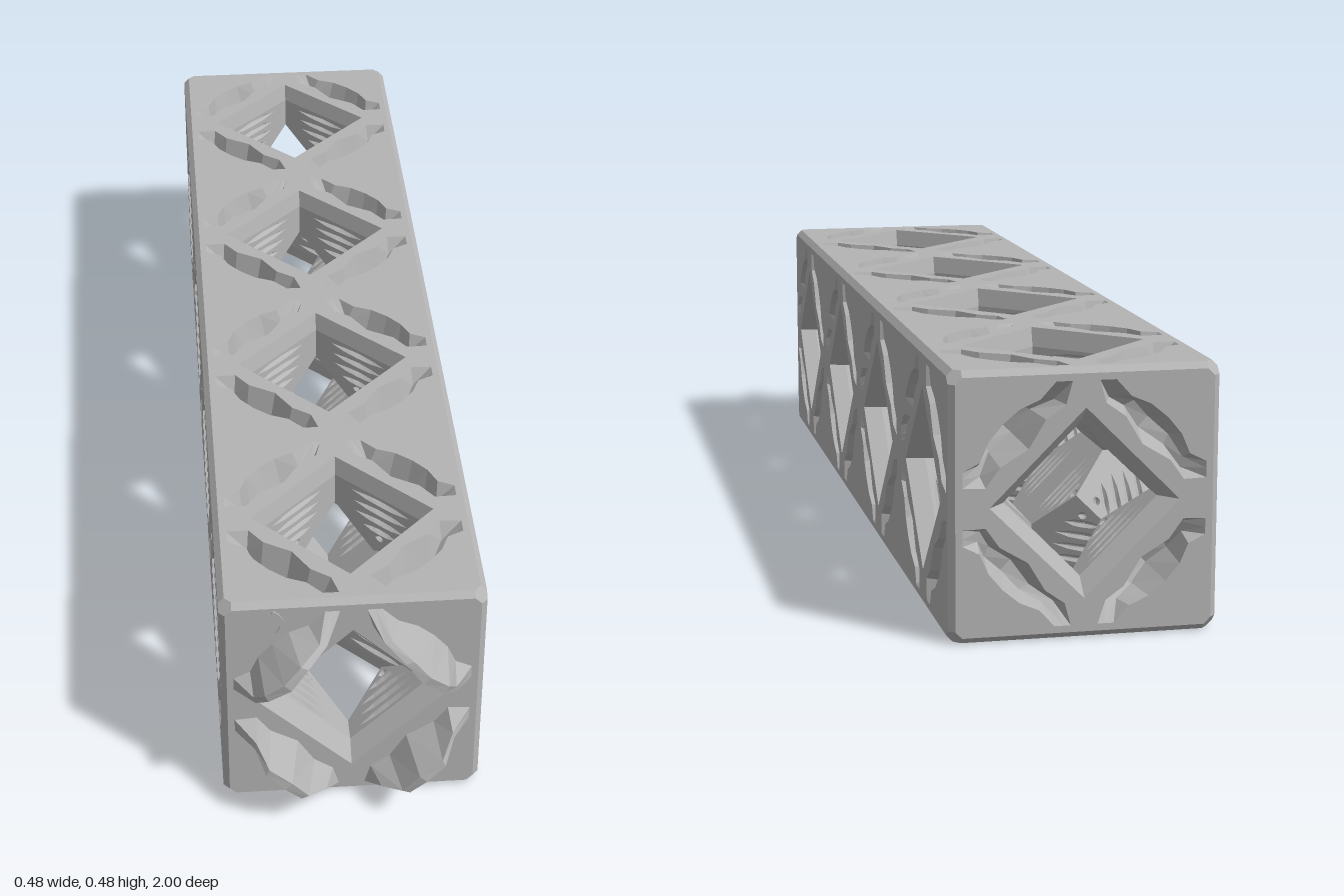
import * as THREE from 'three';

const H = 0.2384;                 // half the side of one cubic cell
const CELLS = [-3, -1, 1, 3].map(i => i * H);
const HALF = [H, H, 4 * H];       // half size of the beam
const D = [0.157, 0.157, 0.137];  // half diagonal of the tunnels along x, y, z
const RIM = 0.168, FLARE = 0.035; // flared mouth of each tunnel
const BEVEL = 0.011, CUT = 0.023;
const AXES = [new THREE.Vector3(1, 0, 0), new THREE.Vector3(0, 1, 0), new THREE.Vector3(0, 0, 1)];
const SIGNS = [[1, 1], [1, -1], [-1, 1], [-1, -1]];

// Wavy channel in one quadrant of a cell face: inner edge, outer edge, depth
const INNER = [[.024, .215], [.035, .175], [.07, .15], [.1, .1], [.15, .07], [.175, .035], [.215, .024]];
const OUTER = [[.065, .215], [.08, .185], [.115, .17], [.145, .145], [.17, .115], [.185, .08], [.215, .065]];
const DEPTH = [0, .035, .065, .08, .065, .035, 0];
const HEIGHT = [0, .05, .085, .093, .085, .05, 0];
// Slits on the tunnel walls: [distance from cell centre, half length]
const SLITS = [[.19, .07], [.167, .065], [.144, .06], [.121, .04], [.105, .01]];

// Collects flat facets, each turned towards its given outward direction
class Facets {
  constructor() { this.pos = []; }
  tri(a, b, c, out) {
    const n = b.clone().sub(a).cross(c.clone().sub(a));
    if (n.length() < 1e-9) return;
    const order = n.dot(out) < 0 ? [a, c, b] : [a, b, c];
    order.forEach(p => this.pos.push(p.x, p.y, p.z));
  }
  poly(pts, out) {
    for (let i = 1; i < pts.length - 1; i++) this.tri(pts[0], pts[i], pts[i + 1], out);
  }
  shape(outline, holes, map, out) {
    const toV2 = l => l.map(([x, y]) => new THREE.Vector2(x, y));
    const s = new THREE.Shape(toV2(outline));
    s.holes = holes.map(h => new THREE.Path(toV2(h)));
    const g = new THREE.ShapeGeometry(s), p = g.attributes.position, ix = g.index;
    const v = i => map(p.getX(ix.getX(i)), p.getY(ix.getX(i)));
    for (let i = 0; i < ix.count; i += 3) this.tri(v(i), v(i + 1), v(i + 2), out);
  }
  // Trough (positive depth) or ridge (negative depth) between two edge lines
  channel(inner, outer, depth, flat, map, out) {
    const mix = (a, b, t) => [a[0] + (b[0] - a[0]) * t, a[1] + (b[1] - a[1]) * t];
    const rows = inner.map((a, i) => [0, flat, 1 - flat, 1].map((t, j) =>
      map(...mix(a, outer[i], t), j === 1 || j === 2 ? depth[i] : 0)));
    for (let i = 0; i + 1 < rows.length; i++)
      for (let j = 0; j < 3; j++)
        this.poly([rows[i][j], rows[i + 1][j], rows[i + 1][j + 1], rows[i][j + 1]], out);
  }
  mesh(name, material) {
    const g = new THREE.BufferGeometry();
    g.setAttribute('position', new THREE.Float32BufferAttribute(this.pos, 3));
    g.computeVertexNormals();
    const m = new THREE.Mesh(g, material);
    m.name = name;
    return m;
  }
}

// Edge lines of a lens-shaped slit
function slitEdges([n, half]) {
  const side = k => [-1, -.5, 0, .5, 1].map((t, i) => [t * half, n + k * [0, .006, .007, .006, 0][i]]);
  return [side(-1), side(1)];
}
const loop = (a, b) => [...a, ...[...b].reverse()];

export function createModel() {
  const grey = new THREE.MeshStandardMaterial({ color: 0xb4b4b4 });
  grey.name = 'grey';
  grey.flatShading = true;
  grey.side = THREE.DoubleSide;
  const panels = new Facets(), tunnels = new Facets(), sockets = new Facets();
  const ridges = new Facets(), edges = new Facets();

  for (let k = 0; k < 3; k++) for (const s of [1, -1]) {
    const iu = k === 0 ? 1 : 0, iv = k === 2 ? 1 : 2;
    const U = AXES[iu], V = AXES[iv], N = AXES[k].clone().multiplyScalar(s);
    const at = (u, v, n, cz = 0) => new THREE.Vector3(0, 0, cz)
      .addScaledVector(U, u).addScaledVector(V, v).addScaledVector(N, n);
    const isEnd = k === 2, isFront = isEnd && s === 1;

    // Outer panel with tunnel mouths and socket openings
    const hu = HALF[iu], hv = HALF[iv], b = BEVEL, c = CUT, holes = [];
    for (const cv of isEnd ? [0] : CELLS) {
      holes.push([[RIM, cv], [0, cv + RIM], [-RIM, cv], [0, cv - RIM]]);
      for (const [a, d] of SIGNS) {
        const q = l => l.map(([x, y]) => [a * x, cv + d * y]);
        const map = (x, y, z) => at(x, y, HALF[k] - z);
        if (isFront) {
          ridges.channel(q(INNER), q(OUTER), HEIGHT.map(h => -h), .35, map, N);
        } else {
          holes.push(loop(q(INNER), q(OUTER)));
          sockets.channel(q(INNER), q(OUTER), DEPTH, .3, map, N);
        }
      }
    }
    panels.shape([[hu - b, hv - c], [hu - c, hv - b], [c - hu, hv - b], [b - hu, hv - c],
      [b - hu, c - hv], [c - hu, b - hv], [hu - c, b - hv], [hu - b, c - hv]],
      holes, (x, y) => at(x, y, HALF[k]), N);

    // Tunnel walls of every cell, cut where the three tunnels cross
    const dk = D[k], du = D[iu], dv = D[iv], r = Math.SQRT1_2;
    for (const cz of CELLS) for (const [a, d] of SIGNS) {
      const open = !isEnd || Math.abs(cz + s * H) > 3.9 * H;
      const top = open ? H - FLARE : H;
      const out = at(-a, -d, 0);
      const wall = (x, n, z = 0) => at(a * (dk / 2 - (x - z) * r + 0) + 0, d * (dk / 2 + (x + z) * r), n, cz);
      const lines = SLITS.map(slitEdges);
      tunnels.shape([[-dk * r, top], [-dk * r, du], [(du - dv) * r, (du + dv - dk) / 2],
        [dk * r, dv], [dk * r, top]], lines.map(([l, m]) => loop(l, m)), wall, out);
      lines.forEach(([l, m]) => tunnels.channel(l, m, [0, .006, .009, .006, 0], .4, wall, out));
      if (open) tunnels.poly([at(a * RIM, 0, H, cz), at(0, d * RIM, H, cz),
        at(0, d * dk, top, cz), at(a * dk, 0, top, cz)], out);
    }

    // Bevels along the beam edges parallel to this axis
    if (s === 1) for (const [a, d] of SIGNS) {
      const l = HALF[k] - c;
      edges.poly([at(a * hu, d * (hv - b), -l), at(a * hu, d * (hv - b), l),
        at(a * (hu - b), d * hv, l), at(a * (hu - b), d * hv, -l)], at(a, d, 0));
    }
  }

  // Six-sided corner cuts
  const insets = [[0, 1, 2], [1, 0, 2], [2, 0, 1], [2, 1, 0], [1, 2, 0], [0, 2, 1]];
  for (const [a, d] of SIGNS) for (const e of [1, -1]) {
    const sg = [a, d, e];
    edges.poly(insets.map(p => new THREE.Vector3(
      ...p.map((t, i) => sg[i] * (HALF[i] - [0, BEVEL, CUT][t])))), new THREE.Vector3(a, d, e));
  }

  const group = new THREE.Group();
  group.name = 'connectorBeam';
  group.add(panels.mesh('outerPanels', grey), tunnels.mesh('tunnelWalls', grey),
    sockets.mesh('sockets', grey), ridges.mesh('frontRidges', grey), edges.mesh('bevelledEdges', grey));

  // Small raised arc on the front
  const arcShape = new THREE.Shape();
  arcShape.absarc(0, 0, .034, -1.15, 1.15, false);
  arcShape.absarc(0, 0, .027, 1.15, -1.15, true);
  const arc = new THREE.Mesh(new THREE.ExtrudeGeometry(arcShape,
    { depth: .003, bevelEnabled: false, curveSegments: 8 }), grey);
  arc.name = 'frontArc';
  arc.position.set(-.157, .43 - H, 4 * H);
  group.add(arc);

  group.children.forEach(m => m.position.add(new THREE.Vector3(0, H, -.0464)));
  return group;
}
